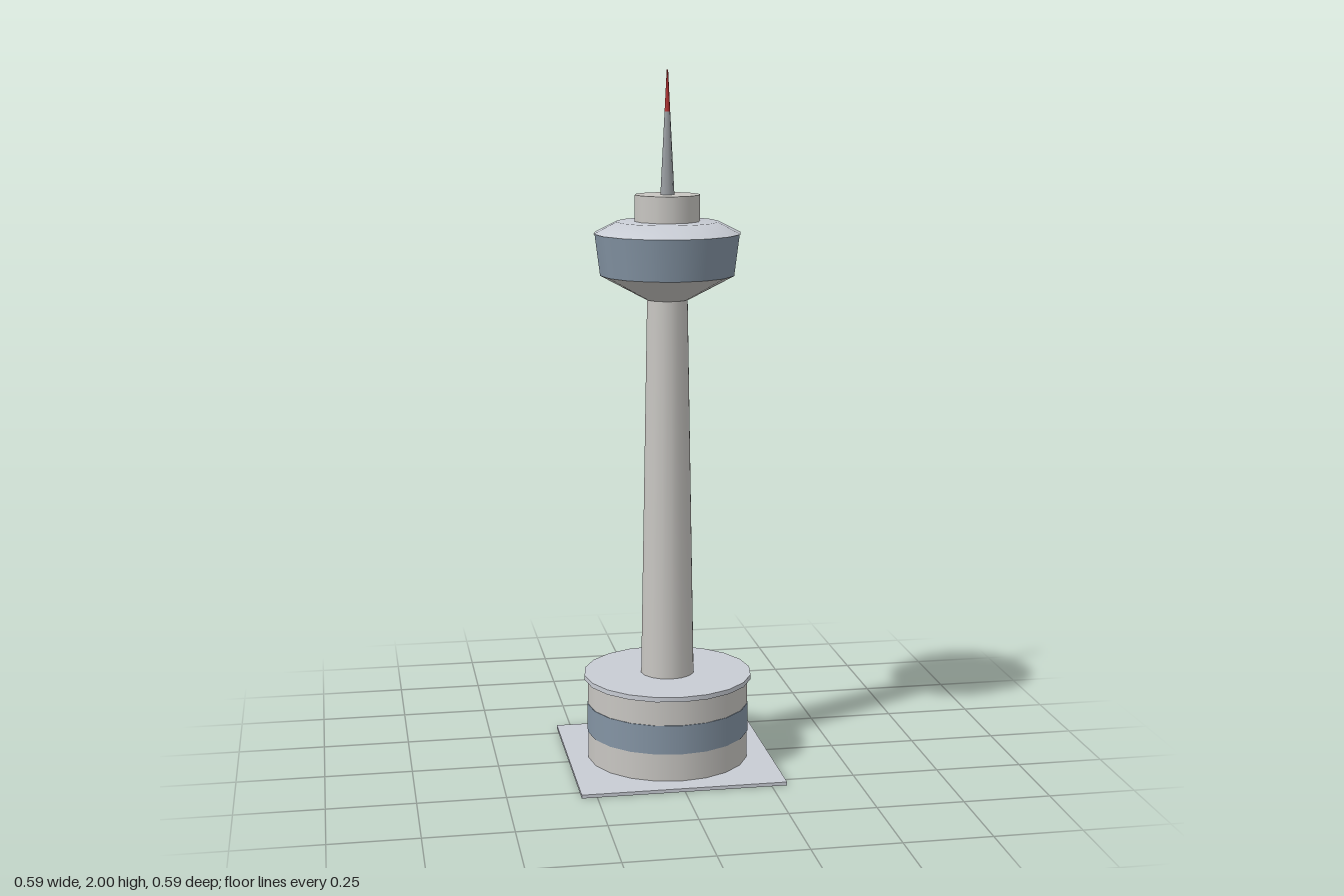
import * as THREE from 'three';

const paint = (color) => new THREE.MeshStandardMaterial({ color });

export function createModel() {
  const tower = new THREE.Group();
  tower.name = 'observationTower';

  const concrete = paint(0xc8c6c2);
  const slab = paint(0xc8ccd4);
  const glass = paint(0x8494a4);
  const metal = paint(0x9a9ea2);
  const red = paint(0xb03030);
  const dark = paint(0x3c4552);

  const add = (name, geometry, material) => {
    const mesh = new THREE.Mesh(geometry, material);
    mesh.name = name;
    tower.add(mesh);
    return mesh;
  };

  // Round section standing between heights y0 and y1
  const drum = (name, r0, r1, y0, y1, sides, material, open = false) => {
    const geometry = new THREE.CylinderGeometry(r1, r0, y1 - y0, sides, 1, open);
    add(name, geometry, material).position.y = (y0 + y1) / 2;
  };

  // Square paving
  add('plinth', new THREE.BoxGeometry(0.588, 0.01, 0.588), slab).position.y = 0.005;

  // Entrance building with window band, roof slab and rear door
  drum('baseBuilding', 0.235, 0.235, 0.01, 0.25, 20, concrete);
  drum('baseWindowBand', 0.237, 0.237, 0.09, 0.175, 20, glass);
  drum('baseRoof', 0.245, 0.245, 0.248, 0.262, 20, slab);
  add('door', new THREE.BoxGeometry(0.106, 0.14, 0.022), dark).position.set(0, 0.08, -0.231);

  // Tapering shaft
  drum('shaft', 0.078, 0.058, 0.26, 1.38, 16, concrete);

  // Observation pod
  drum('podUnderside', 0.062, 0.192, 1.36, 1.43, 16, concrete);
  drum('podWindows', 0.192, 0.207, 1.43, 1.547, 16, glass);
  const roofProfile = [[0.21, 1.547], [0.145, 1.58], [0, 1.582]];
  add('podRoof', new THREE.LatheGeometry(
    roofProfile.map(([r, y]) => new THREE.Vector2(r, y)), 16), slab);

  // Plant room and mast with red tip
  drum('plantRoom', 0.093, 0.093, 1.575, 1.655, 12, concrete);
  drum('mast', 0.02, 0.008, 1.655, 1.885, 8, metal);
  drum('mastTip', 0.008, 0.002, 1.885, 2, 8, red);

  return tower;
}
